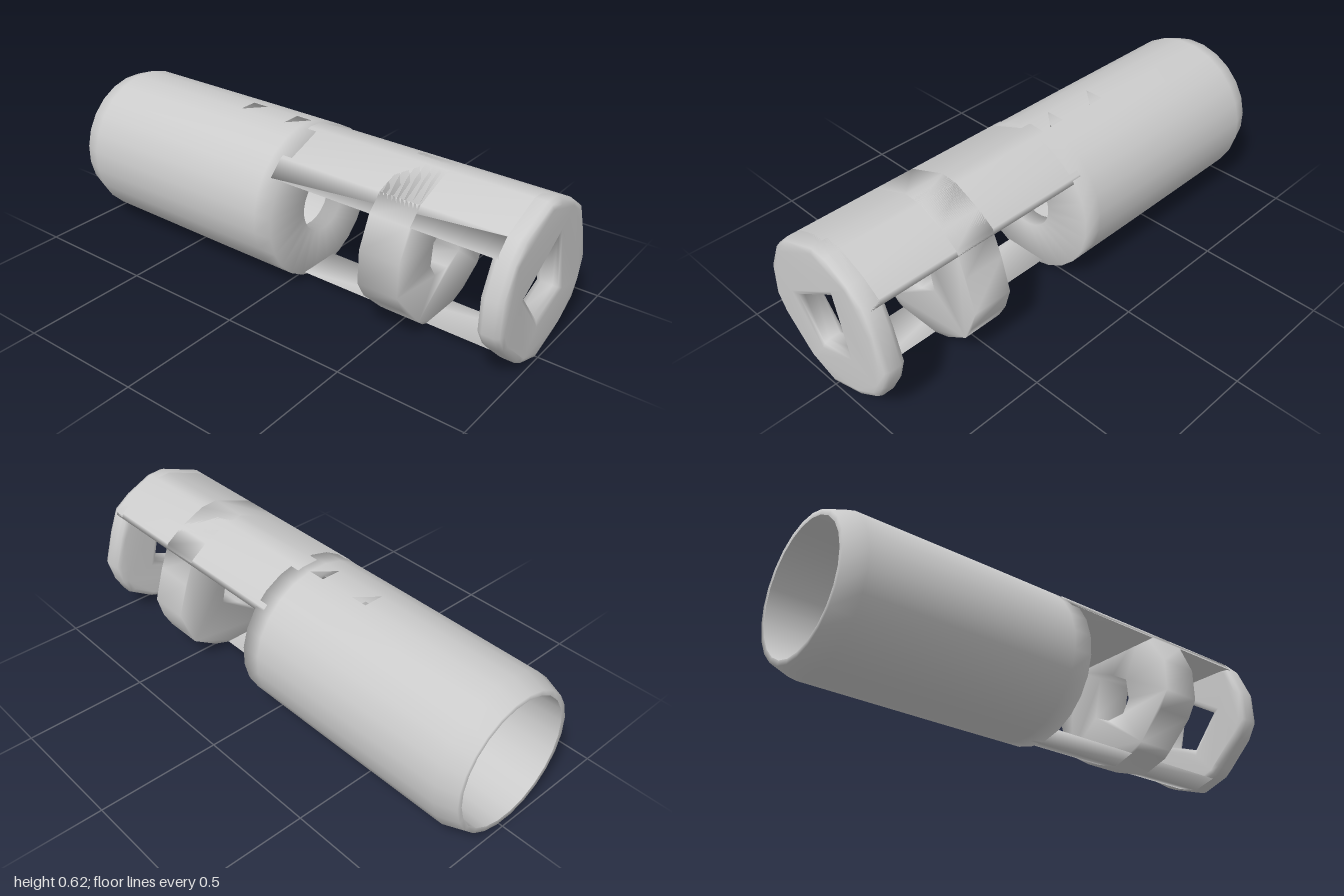
import * as THREE from 'three';
import { mergeVertices } from 'three/addons/utils/BufferGeometryUtils.js';

const CENTRE = 0.308;
const material = new THREE.MeshStandardMaterial({ color: 0xcccccc, side: THREE.DoubleSide });
const vectors = (points) => points.map(([x, y]) => new THREE.Vector2(x, y));

// Irregular faceted outline of the tube, counter-clockwise
const OUTLINE = [
  [0.31, 0.275], [0.27, 0.41], [0.23, 0.51], [0.16, 0.56], [0.05, 0.61], [-0.02, 0.615],
  [-0.19, 0.55], [-0.25, 0.49], [-0.305, 0.37], [-0.31, 0.24], [-0.27, 0.17], [-0.16, 0.065],
  [-0.13, 0.04], [-0.01, 0], [0.15, 0.055], [0.25, 0.12], [0.285, 0.185],
];
const FRONT_HOLE = [[0.055, 0.45], [-0.15, 0.32], [-0.035, 0.18], [0.105, 0.235]];
const MIDDLE_HOLE = [
  [0.06, 0.415], [-0.015, 0.405], [-0.09, 0.36], [-0.1, 0.27],
  [-0.065, 0.215], [0.02, 0.21], [0.095, 0.245],
];

// Softly shaded slab along z, with an optional hole and rounded rim
function slab(name, outline, hole, z0, z1, bevel = 0) {
  const shape = new THREE.Shape(vectors(outline));
  if (hole) shape.holes.push(new THREE.Path(vectors(hole)));
  let geometry = new THREE.ExtrudeGeometry(shape, {
    depth: z1 - z0 - 2 * bevel, bevelEnabled: bevel > 0, bevelThickness: bevel,
    bevelSize: bevel, bevelOffset: -bevel, bevelSegments: 2,
  });
  geometry.translate(0, 0, z0 + bevel);
  geometry.deleteAttribute('normal');
  geometry.deleteAttribute('uv');
  geometry = mergeVertices(geometry, 1e-4);
  geometry.computeVertexNormals();
  const mesh = new THREE.Mesh(geometry, material);
  mesh.name = name;
  return mesh;
}

// Rear barrel: hollow lathe with a pierced front wall and two small top slots
function rearBarrel() {
  const profile = vectors([
    [0.255, -1], [0.275, -1], [0.303, -0.92], [0.305, -0.33], [0.305, -0.26], [0.305, -0.11],
    [0.305, -0.04], [0.305, 0.04], [0.12, 0.05], [0.12, -0.02], [0.25, -0.04], [0.25, -0.11],
    [0.25, -0.26], [0.25, -0.33], [0.255, -1],
  ]);
  const segments = 24;
  const geometry = new THREE.LatheGeometry(profile, segments, Math.PI / segments);
  // Outer slots lose one triangle, the inner wall beneath loses the whole cell
  const source = Array.from(geometry.index.array);
  const topCell = segments / 2 - 1;
  const rows = profile.length - 1;
  const kept = source.filter((_, k) => {
    const triangle = Math.floor(k / 3);
    const cell = Math.floor(triangle / 2);
    if (Math.floor(cell / rows) !== topCell) return true;
    const row = cell % rows;
    if (row === 3 || row === 5) return triangle % 2 === 1;
    return row !== 10 && row !== 12;
  });
  geometry.setIndex(kept);
  geometry.rotateX(Math.PI / 2);
  geometry.translate(0, CENTRE, 0);
  const mesh = new THREE.Mesh(geometry, material);
  mesh.name = 'rearBarrel';
  return mesh;
}

export function createModel() {
  const group = new THREE.Group();
  group.name = 'windowedTube';
  group.add(rearBarrel());

  // Rings framing the side windows
  group.add(slab('frontRing', OUTLINE, FRONT_HOLE, 0.905, 1, 0.025));
  group.add(slab('middleRing', OUTLINE, MIDDLE_HOLE, 0.44, 0.605));

  // Roof above and thin rail below the windows
  const roof = [[0.238, 0.49], ...OUTLINE.slice(2, 8)];
  group.add(slab('roof', roof, null, 0, 0.97));
  const rail = [[-0.105, 0.032], [-0.01, 0.003], [0.08, 0.032]];
  group.add(slab('bottomRail', rail, null, 0, 0.97));
  return group;
}
